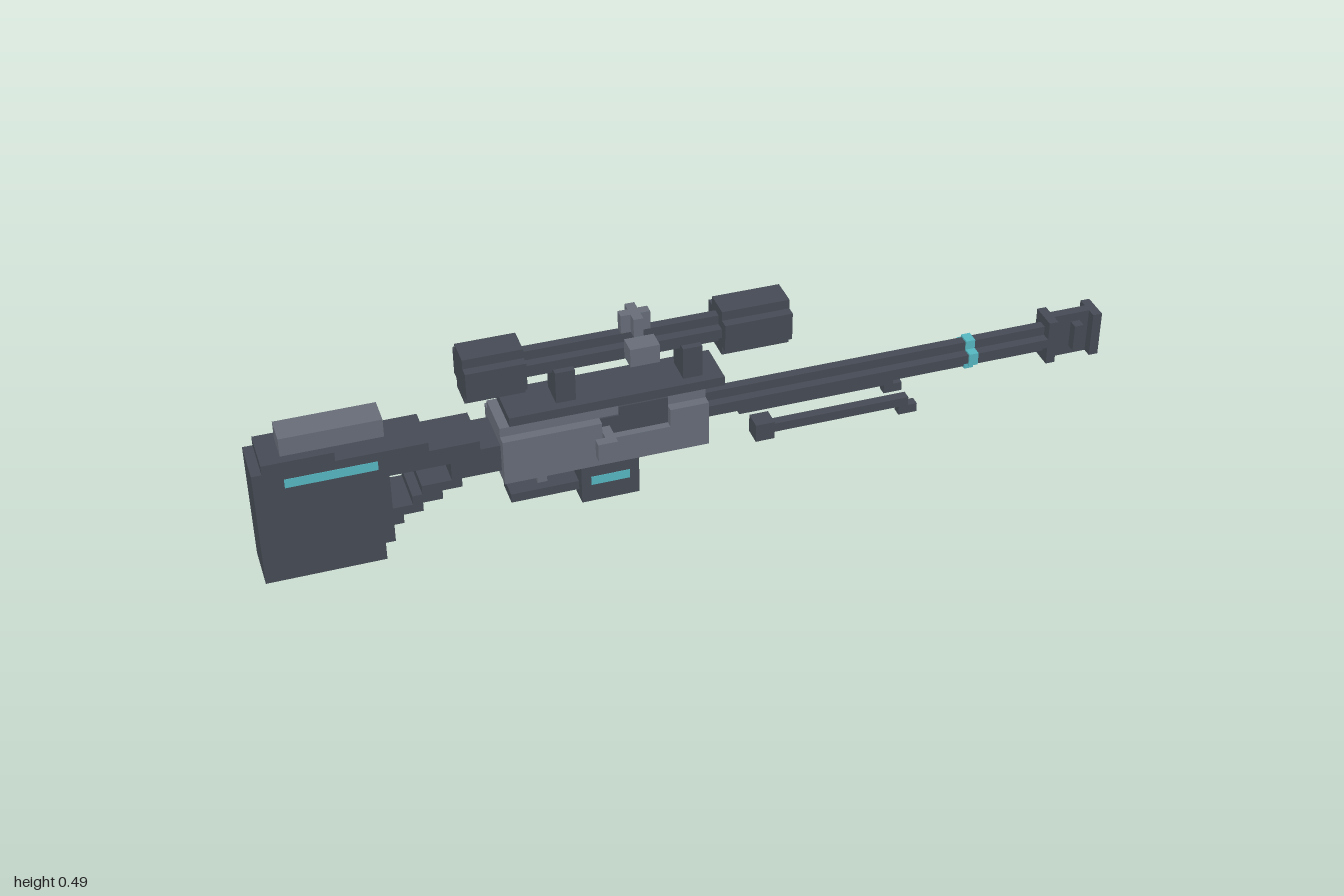
import * as THREE from 'three';

const V = 2 / 89; // one grid cell
const mat = (name, color, side = THREE.FrontSide) => {
  const m = new THREE.MeshStandardMaterial({ color, side });
  m.name = name;
  return m;
};

export function createModel() {
  const model = new THREE.Group();
  model.name = 'blockRifle';
  const dark = mat('darkMetal', 0x454a54);
  const light = mat('lightMetal', 0x666c78);
  const teal = mat('tealAccent', 0x55b6c0);

  // Cells: x from the butt, y from the ground, z from the gun's centre plane
  const X = (i) => -1 + i * V;
  const Z = (c) => (c - 1) * V;
  const box = (name, m, x0, x1, y0, y1, z0, z1) => {
    const geo = new THREE.BoxGeometry((x1 - x0) * V, (y1 - y0) * V, (z1 - z0) * V);
    const mesh = new THREE.Mesh(geo, m);
    mesh.position.set(X((x0 + x1) / 2), ((y0 + y1) / 2) * V, Z((z0 + z1) / 2));
    mesh.name = name;
    model.add(mesh);
  };
  // Box centred on the gun's centre plane
  const mid = (name, m, x0, x1, y0, y1, half) => box(name, m, x0, x1, y0, y1, -half, half);
  // Bar with a plus-shaped section, three cells across
  const plusBar = (name, m, x0, x1, y, grow = 0) => {
    mid(name, m, x0, x1, y - 1.5 - grow, y + 1.5 + grow, 0.5 + grow);
    mid(name, m, x0, x1, y - 0.5 - grow, y + 0.5 + grow, 1.5 + grow);
  };
  // Five-cell tube with notched corners
  const notchedTube = (name, m, x0, x1, y) => {
    mid(name, m, x0, x1, y - 2.5, y + 2.5, 1.5);
    mid(name, m, x0, x1, y - 1.5, y + 1.5, 2.5);
  };

  // Stock with stepped grip and thumb hole
  const pts = (a) => a.map(([i, j]) => new THREE.Vector2(X(i), j * V));
  const outline = new THREE.Shape(pts([
    [0, 0], [12, 0], [12, 2], [13, 2], [13, 4], [14, 4], [14, 5], [16, 5], [16, 6],
    [18, 6], [18, 7], [20, 7], [20, 8], [24, 8], [24, 11], [22, 11], [22, 12],
    [17, 12], [17, 13], [8, 13], [8, 14], [1, 14], [1, 13], [0, 13],
  ]));
  outline.holes.push(new THREE.Path(pts([
    [13, 6], [13, 10], [19, 10], [19, 8], [16, 8], [16, 7], [15, 7], [15, 6],
  ])));
  const stock = new THREE.Mesh(
    new THREE.ExtrudeGeometry(outline, { depth: 5 * V, bevelEnabled: false }), dark);
  stock.position.z = Z(-2.5);
  stock.name = 'stock';
  model.add(stock);
  mid('cheekRest', light, 3, 13, 14, 16, 1.5);

  // Receiver with an open port on the bolt side
  box('receiver', light, 24, 45, 7, 12, -3.5, 2.5);
  box('receiverSide', light, 24, 45, 7, 10, 2.5, 3.5);
  box('receiverSideRear', light, 24, 34, 10, 12, 2.5, 3.5);
  box('receiverSideFront', light, 41, 45, 10, 12, 2.5, 3.5);
  mid('receiverTop', light, 24, 45, 12, 13, 2.5);
  box('ejectionPort', dark, 34, 41, 10, 12, 2.5, 2.7);
  box('portLip', dark, 36, 41, 12, 13, 2.5, 2.7);
  mid('topRail', dark, 25, 47, 13, 14, 2.5);
  box('boltArm', light, 34, 35, 10, 11, 2.6, 4.5);
  box('boltKnob', light, 33, 35, 9, 11, 4.5, 5.5);

  // Magazine, trigger and guard
  mid('magazine', dark, 32, 38, 2, 7, 2.5);
  mid('triggerGuard', dark, 25, 32, 3, 4, 1.5);
  mid('trigger', light, 28, 29, 4, 7, 0.5);

  // Barrel with accent ring
  plusBar('barrel', dark, 45, 83, 9.5);
  plusBar('barrelRing', teal, 74, 75, 9.5, 0.2);

  // Muzzle brake: core, fins and a framed bore
  mid('muzzleCore', dark, 83, 88, 7, 12, 0.5);
  mid('muzzleRearFin', dark, 83, 84, 7, 12, 1.5);
  mid('muzzleMiddleFin', dark, 86, 87, 8, 11, 1.5);
  mid('muzzleFrontFin', dark, 88, 89, 7, 9, 1.5);
  mid('muzzleFrontFin', dark, 88, 89, 10, 12, 1.5);

  // Scope
  plusBar('scopeTube', dark, 27, 47, 18.5);
  notchedTube('eyepiece', dark, 21, 27, 18.5);
  notchedTube('objective', dark, 47, 54, 18.5);
  mid('lens', teal, 53.8, 54.03, 17, 20, 1.5);
  for (const i of [30, 43]) mid('scopeMount', dark, i, i + 2, 14, 17.5, 1.5);
  mid('topTurret', light, 37, 40, 20, 22, 0.5);
  mid('topTurret', light, 38, 39, 20, 22, 1.5);
  box('sideTurret', light, 37, 40, 18, 20, 1.5, 3.5);

  // Mirrored parts: folded bipod and accent stripes
  for (const s of [-1, 1]) {
    const pair = (name, m, x0, x1, y0, y1, a, b) =>
      box(name, m, x0, x1, y0, y1, Math.min(s * a, s * b), Math.max(s * a, s * b));
    pair('bipodMount', dark, 50, 52, 6, 8, 1.5, 3.5);
    pair('bipodLeg', dark, 52, 67, 6, 7, 1.5, 2.5);
    pair('bipodFoot', dark, 66, 68, 5, 6, 1.5, 2.5);
    pair('muzzleBoreWall', dark, 88, 89, 9, 10, 0.5, 1.5);
    pair('stockStripe', teal, 3, 12, 11, 12, 2.4, 2.55);
    pair('magazineStripe', teal, 33, 37, 4, 5, 2.4, 2.55);
  }
  return model;
}
